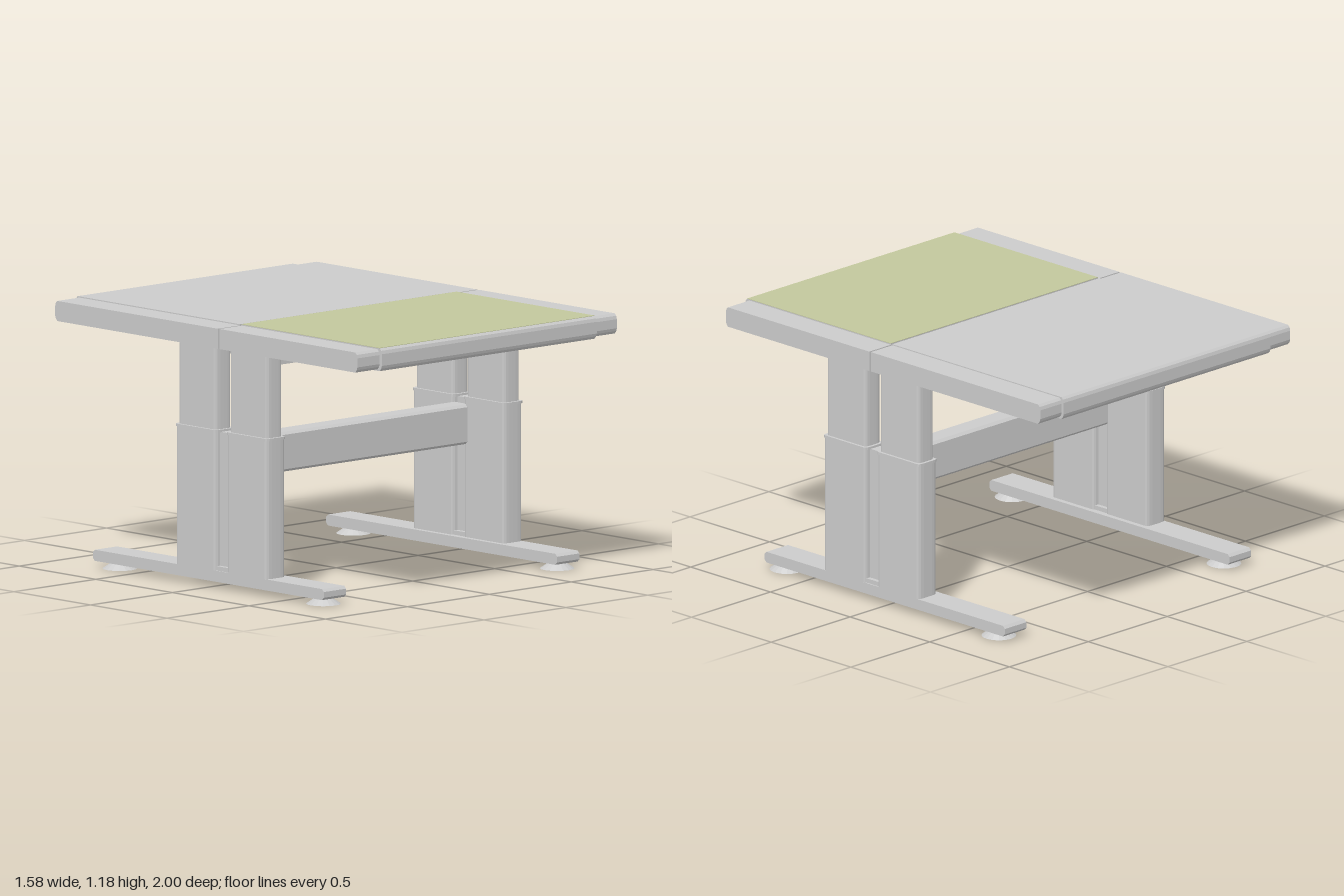
import * as THREE from 'three';

const grey = new THREE.MeshStandardMaterial({ color: 0xcccccc, flatShading: true });
const green = new THREE.MeshStandardMaterial({ color: 0xc2c79c });

function add(group, name, geometry, x = 0, y = 0, z = 0, material = grey) {
  const mesh = new THREE.Mesh(geometry, material);
  mesh.name = name;
  mesh.position.set(x, y, z);
  group.add(mesh);
  return mesh;
}

// Profile of [z, y] points swept along x, centred on x = 0
function sweepX(points, length) {
  const shape = new THREE.Shape(points.map(([z, y]) => new THREE.Vector2(z, y)));
  const g = new THREE.ExtrudeGeometry(shape, { depth: length, bevelEnabled: false });
  return g.translate(0, 0, -length / 2).rotateY(-Math.PI / 2);
}

// Upright tube: flat sides, gently bowed ends facing front and back
function columnGeometry(width, depth, height, bow = 0.016) {
  const w = width / 2, d = depth / 2;
  const shape = new THREE.Shape();
  shape.moveTo(-w, -d + bow);
  shape.bezierCurveTo(-w, -d, -w * 0.7, -d, 0, -d);
  shape.bezierCurveTo(w * 0.7, -d, w, -d, w, -d + bow);
  shape.lineTo(w, d - bow);
  shape.bezierCurveTo(w, d, w * 0.7, d, 0, d);
  shape.bezierCurveTo(-w * 0.7, d, -w, d, -w, d - bow);
  const g = new THREE.ExtrudeGeometry(shape, { depth: height, bevelEnabled: false, curveSegments: 4 });
  return g.rotateX(-Math.PI / 2);
}

// Board profile from the middle gap (z0) to a softened outer edge (z1)
function boardProfile(z0, z1, y0, y1) {
  const s = Math.sign(z1), c = 0.014 * s;
  const pts = [
    [z0, y0], [z1 - c, y0], [z1 - c * 0.3, y0 + 0.012], [z1, y0 + 0.025],
    [z1, y1 - 0.025], [z1 - c * 0.3, y1 - 0.01], [z1 - c, y1], [z0, y1],
  ];
  return s > 0 ? pts : pts.reverse();
}

export function createModel() {
  const model = new THREE.Group();
  model.name = 'adjustableTable';

  // Two table tops, each with a centre board and lower side strips
  for (const [label, z0, z1, zStrip] of [['front', 0.085, 1, 0.986], ['rear', 0.075, -1, -0.988]]) {
    add(model, label + 'Board', sweepX(boardProfile(z0, z1, 1.08, 1.183), 1.312));
    for (const s of [-1, 1]) {
      add(model, label + 'SideStrip', sweepX(boardProfile(z0, zStrip, 1.087, 1.178), 0.136), s * 0.724);
    }
  }

  // Coloured surface on the front board
  add(model, 'frontInlay', new THREE.BoxGeometry(1.312, 0.002, 0.9), 0, 1.184, 0.535, green);

  // Leg frames
  for (const s of [-1, 1]) {
    const leg = new THREE.Group();
    leg.name = s > 0 ? 'leftLeg' : 'rightLeg';
    model.add(leg);

    for (const [label, z] of [['front', 0.251], ['rear', -0.083]]) {
      add(leg, label + 'LowerColumn', columnGeometry(0.112, 0.266, 0.63), s * 0.724, 0.075, z);
      add(leg, label + 'ColumnCollar', columnGeometry(0.118, 0.274, 0.012), s * 0.724, 0.703, z);
      add(leg, label + 'UpperColumn', columnGeometry(0.094, 0.248, 0.39), s * 0.724, 0.7, z);
    }
    add(leg, 'columnWeb', new THREE.BoxGeometry(0.06, 0.63, 0.09), s * 0.724, 0.39, 0.084);
    add(leg, 'webBase', new THREE.BoxGeometry(0.1, 0.03, 0.09), s * 0.724, 0.085, 0.084);

    // Long foot with softened ends
    const c = 0.012, end = 0.754;
    add(leg, 'footBar', sweepX([
      [-end + c, 0.03], [end - c, 0.03], [end, 0.03 + c], [end, 0.08 - c],
      [end - c, 0.08], [-end + c, 0.08], [-end, 0.08 - c], [-end, 0.03 + c],
    ], 0.136), s * 0.712);

    // Levelling pads
    for (const z of [0.68, -0.65]) {
      add(leg, 'levellingPad', new THREE.CylinderGeometry(0.04, 0.078, 0.026, 16), s * 0.713, 0.013, z);
      add(leg, 'padStem', new THREE.CylinderGeometry(0.04, 0.04, 0.012, 16), s * 0.713, 0.028, z);
    }
  }

  // Cross beam with chamfered edges
  add(model, 'crossBeam', sweepX([
    [0.045, 0.5], [0.13, 0.5], [0.142, 0.512], [0.142, 0.668],
    [0.13, 0.68], [0.045, 0.68], [0.033, 0.668], [0.033, 0.512],
  ], 1.36));

  // Slim channel rails under each top
  for (const z of [0.25, -0.13]) {
    add(model, 'topRail', sweepX([
      [z - 0.035, 1.02], [z - 0.027, 1.02], [z - 0.027, 1.042], [z + 0.027, 1.042],
      [z + 0.027, 1.02], [z + 0.035, 1.02], [z + 0.035, 1.05], [z - 0.035, 1.05],
    ], 1.37));
  }
  return model;
}
